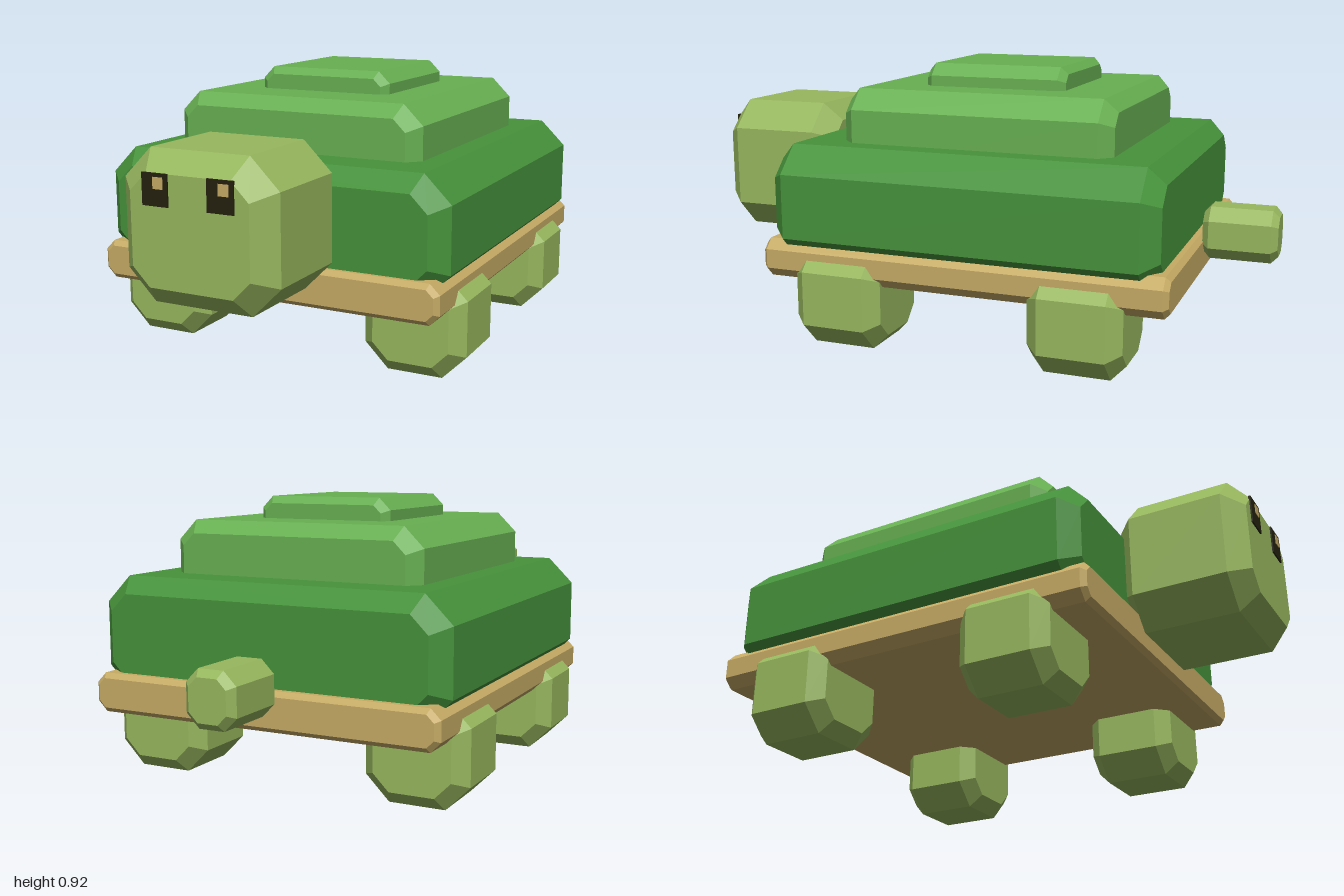
import * as THREE from 'three';

const material = (name, color) => {
  const m = new THREE.MeshStandardMaterial({ color });
  m.name = name;
  return m;
};

// Octagonal block: box with corners cut in the XY profile and bevelled front and back rims
function block(name, mat, [x0, x1], [y0, y1], [z0, z1], cut, bevel) {
  const shape = new THREE.Shape([
    [x0 + cut, y0], [x1 - cut, y0], [x1, y0 + cut], [x1, y1 - cut],
    [x1 - cut, y1], [x0 + cut, y1], [x0, y1 - cut], [x0, y0 + cut],
  ].map(([x, y]) => new THREE.Vector2(x, y)));
  const geometry = new THREE.ExtrudeGeometry(shape, {
    depth: z1 - z0 - 2 * bevel,
    bevelEnabled: true,
    bevelSegments: 1,
    bevelSize: bevel,
    bevelThickness: bevel,
    bevelOffset: -bevel,
  });
  geometry.translate(0, 0, z0 + bevel);
  const mesh = new THREE.Mesh(geometry, mat);
  mesh.name = name;
  return mesh;
}

// Thin painted plate
function plate(name, mat, w, h, d, x, y, z) {
  const mesh = new THREE.Mesh(new THREE.BoxGeometry(w, h, d), mat);
  mesh.position.set(x, y, z);
  mesh.name = name;
  return mesh;
}

export function createModel() {
  const darkGreen = material('dark shell green', 0x46923b);
  const lightGreen = material('light shell green', 0x68b052);
  const skin = material('skin green', 0x97b75e);
  const tan = material('tan', 0xc6ab65);
  const black = material('eye black', 0x24210f);

  const model = new THREE.Group();
  model.name = 'turtle';

  // Belly plate and stepped shell
  model.add(
    block('bellyPlate', tan, [-0.612, 0.608], [0.22, 0.35], [-0.755, 0.617], 0.033, 0.016),
    block('lowerShell', darkGreen, [-0.617, 0.614], [0.27, 0.665], [-0.72, 0.588], 0.09, 0.055),
    block('middleShell', lightGreen, [-0.448, 0.446], [0.52, 0.842], [-0.532, 0.4], 0.067, 0.043),
    block('topShell', lightGreen, [-0.242, 0.24], [0.74, 0.917], [-0.315, 0.18], 0.04, 0.024),
  );

  // Head and tail
  model.add(
    block('head', skin, [-0.264, 0.262], [0.285, 0.753], [0.557, 0.993], 0.095, 0.063),
    block('tail', skin, [-0.088, 0.084], [0.275, 0.453], [-1, -0.752], 0.043, 0.022),
  );

  // Legs
  for (const [side, x] of [['left', 0.467], ['right', -0.467]]) {
    for (const [end, z] of [['Front', 0.342], ['Back', -0.467]]) {
      model.add(block(`${side}${end}Leg`, skin,
        [x - 0.173, x + 0.173], [0, 0.34], [z - 0.153, z + 0.153], 0.08, 0.045));
    }
  }

  // Eyes, each with a highlight shifted the same way
  for (const [side, x] of [['left', 0.109], ['right', -0.111]]) {
    model.add(
      plate(`${side}Eye`, black, 0.088, 0.097, 0.008, x, 0.643, 0.994),
      plate(`${side}EyeHighlight`, tan, 0.034, 0.035, 0.006, x + 0.012, 0.663, 0.997),
    );
  }

  return model;
}
